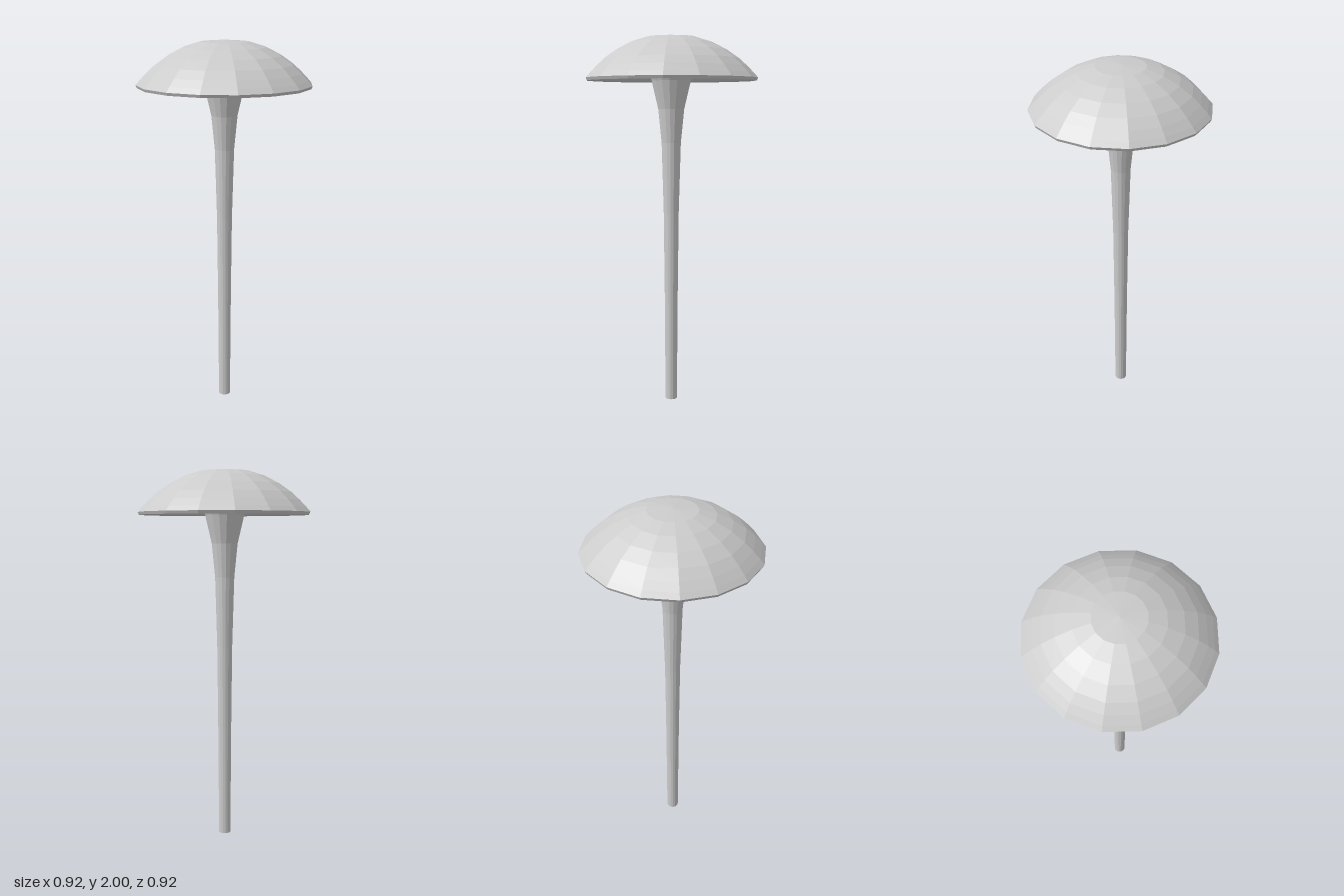
import * as THREE from 'three';

const SIDES = 16;

// Faceted solid of revolution from [radius, height] pairs, listed bottom to top.
function turned(name, profile, material) {
  const points = profile.map(([r, y]) => new THREE.Vector2(r, y));
  const mesh = new THREE.Mesh(new THREE.LatheGeometry(points, SIDES), material);
  mesh.name = name;
  return mesh;
}

export function createModel() {
  const model = new THREE.Group();
  model.name = 'mushroom';
  const material = new THREE.MeshStandardMaterial({ color: 0xcccccc, flatShading: true });

  // Slender stem that flares like a trumpet into the hollow of the cap
  model.add(turned('stem', [
    [0, 0], [0.032, 0], [0.036, 0.6], [0.041, 1.05], [0.052, 1.43],
    [0.07, 1.61], [0.105, 1.76], [0.14, 1.85], [0.175, 1.89], [0.235, 1.905],
  ], material));

  // Thin domed cap: hollow underside, narrow rim, then the outer dome
  model.add(turned('cap', [
    [0.235, 1.905], [0.31, 1.865], [0.38, 1.81], [0.43, 1.765], [0.455, 1.76],
    [0.462, 1.775], [0.44, 1.80], [0.405, 1.836], [0.36, 1.877],
    [0.295, 1.922], [0.215, 1.963], [0.128, 1.99], [0, 2],
  ], material));

  return model;
}
